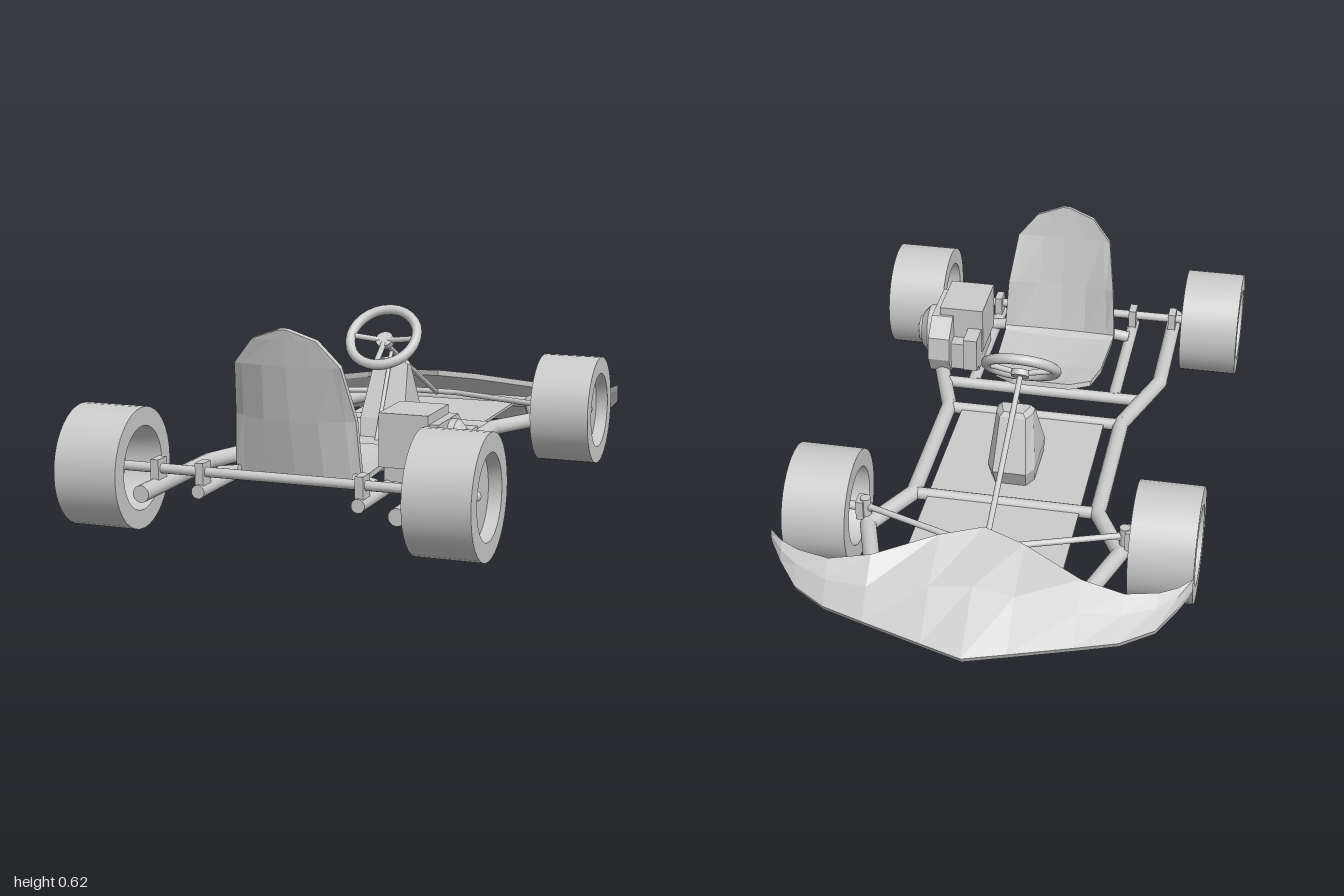
import * as THREE from 'three';
import { toCreasedNormals } from 'three/addons/utils/BufferGeometryUtils.js';

const grey = new THREE.MeshStandardMaterial({ color: 0xcccccc });
const facet = new THREE.MeshStandardMaterial({ color: 0xcccccc, flatShading: true, side: THREE.DoubleSide });
const V = (x, y, z) => new THREE.Vector3(x, y, z);

function add(parent, name, geometry, material = grey) {
  const mesh = new THREE.Mesh(geometry, material);
  mesh.name = name;
  parent.add(mesh);
  return mesh;
}

// Box given by its limits on each axis
function box(parent, name, x0, x1, y0, y1, z0, z1) {
  const m = add(parent, name, new THREE.BoxGeometry(x1 - x0, y1 - y0, z1 - z0));
  m.position.set((x0 + x1) / 2, (y0 + y1) / 2, (z0 + z1) / 2);
  return m;
}

// Straight round bar between two points
function rod(parent, name, a, b, r, sides = 14) {
  const m = add(parent, name, new THREE.CylinderGeometry(r, r, a.distanceTo(b), sides));
  m.position.copy(a).add(b).multiplyScalar(0.5);
  m.quaternion.setFromUnitVectors(V(0, 1, 0), b.clone().sub(a).normalize());
  return m;
}

// Chain of bars with rounded joints
function bentPipe(parent, name, points, r) {
  const g = new THREE.Group();
  g.name = name;
  parent.add(g);
  points.forEach((p, i) => {
    if (i === 0) return;
    rod(g, name + 'Section', points[i - 1], p, r);
    if (i < points.length - 1) add(g, name + 'Joint', new THREE.SphereGeometry(r, 14, 8)).position.copy(p);
  });
}

// Skin over a row of closed loops, with both ends capped
function loft(loops) {
  const n = loops[0].length, index = [];
  for (let i = 0; i < loops.length - 1; i++) {
    for (let j = 0; j < n; j++) {
      const a = i * n + j, b = i * n + (j + 1) % n;
      index.push(a, b, a + n, b, b + n, a + n);
    }
  }
  const last = (loops.length - 1) * n;
  for (let j = 0; j < n / 2 - 1; j++) {
    const k = n - 1 - j;
    index.push(j, k, j + 1, j + 1, k, k - 1);
    index.push(last + j, last + j + 1, last + k, last + j + 1, last + k - 1, last + k);
  }
  const g = new THREE.BufferGeometry().setFromPoints(loops.flat());
  g.setIndex(index);
  g.computeVertexNormals();
  return g;
}

function addWheels(kart) {
  // Tyre and rim: shallow recess outside, deep one inside
  const profile = [[0, 0.02], [0.12, 0.02], [0.127, -0.1], [0.184, -0.1], [0.184, 0.1],
    [0.127, 0.1], [0.127, 0.06], [0, 0.06]].map(([r, h]) => new THREE.Vector2(r, h));
  const tyre = toCreasedNormals(new THREE.LatheGeometry(profile, 36), 0.5);
  for (const [end, z] of [['rear', 0.822], ['front', -0.51]]) {
    for (const s of [-1, 1]) {
      const wheel = new THREE.Group();
      wheel.name = end + 'Wheel';
      wheel.position.set(s * 0.536 - 0.005, 0.185, z);
      wheel.scale.z = 0.965;
      add(wheel, 'tyreAndRim', tyre).rotation.z = -s * Math.PI / 2;
      add(wheel, 'axleNut', new THREE.SphereGeometry(0.016, 12, 8)).position.x = s * 0.06;
      kart.add(wheel);
    }
  }
}

function addChassis(kart) {
  const Y = 0.133, R = 0.026;
  for (const s of [-1, 1]) {
    bentPipe(kart, 'sideRail', [[0.395, 0.93], [0.395, 0.46], [0.30, 0.18], [0.30, -0.34], [0.40, -0.53],
      [0.30, -0.83]].map(([x, z]) => V(s * x, Y, z)), R);
    rod(kart, 'innerRail', V(s * 0.25, Y, 0.33), V(s * 0.25, Y, 0.85), 0.021);
    rod(kart, 'seatStrut', V(s * 0.25, 0.16, 0.70), V(s * 0.18, 0.17, 0.70), 0.02);
    // Axle bearings standing on the rails
    for (const x of [0.25, 0.395]) box(kart, 'axleBearing', s * x - 0.013, s * x + 0.013, 0.12, 0.217, 0.785, 0.84);
    // Front steering knuckle and tie rod
    rod(kart, 'kingpin', V(s * 0.41, 0.11, -0.51), V(s * 0.41, 0.22, -0.51), 0.017);
    rod(kart, 'stubAxle', V(s * 0.39, 0.185, -0.51), V(s * 0.53, 0.185, -0.51), 0.014);
    box(kart, 'knuckle', s * 0.425 - 0.012, s * 0.425 + 0.012, 0.15, 0.215, -0.535, -0.485);
    bentPipe(kart, 'tieRod', [V(s * 0.41, 0.19, -0.51), V(s * 0.07, 0.19, -0.63), V(0, 0.19, -0.63)], 0.01);
  }
  for (const [z, x] of [[-0.83, 0.30], [-0.34, 0.30], [0.17, 0.30], [0.33, 0.345]]) {
    rod(kart, 'crossTube', V(-x, Y, z), V(x, Y, z), 0.02);
  }
  rod(kart, 'rearAxle', V(-0.53, 0.187, 0.815), V(0.53, 0.187, 0.815), 0.015);
  box(kart, 'floorPan', -0.243, 0.25, 0.128, 0.138, -0.78, 0.17);
}

function addNose(kart) {
  // x, front edge z and y, middle z and y, back edge z and y
  const half = [[0, -1, 0.045, -0.83, 0.18, -0.645, 0.265], [0.13, -0.968, 0.055, -0.84, 0.17, -0.69, 0.252],
    [0.32, -0.92, 0.07, -0.855, 0.15, -0.782, 0.218], [0.45, -0.885, 0.08, -0.84, 0.148, -0.797, 0.196],
    [0.55, -0.838, 0.105, -0.805, 0.165, -0.778, 0.2], [0.605, -0.79, 0.155, -0.778, 0.19, -0.762, 0.215],
    [0.645, -0.743, 0.195, -0.741, 0.215, -0.738, 0.235]];
  const mirrored = half.slice(1).reverse().map(([x, ...rest]) => [-x, ...rest]);
  const loops = [...mirrored, ...half].map(([x, zf, yf, zm, ym, zb, yb]) => [
    V(x, yf, zf), V(x, ym, zm), V(x, yb, zb),
    V(x, yb - 0.02, zb), V(x, ym - 0.03, zm), V(x, yf - 0.02, zf + 0.01)]);
  add(kart, 'nosePanel', loft(loops), facet);
}

function addSeat(kart) {
  // z, y, half width, how far the sides curl towards the driver
  const rows = [[0.295, 0.183, 0.10, 0], [0.34, 0.172, 0.168, 0.005], [0.45, 0.153, 0.188, 0.012],
    [0.655, 0.152, 0.197, 0.01], [0.695, 0.168, 0.2, 0.02], [0.738, 0.34, 0.19, 0.045],
    [0.77, 0.51, 0.165, 0.015], [0.782, 0.588, 0.1, 0.005], [0.787, 0.62, 0.012, 0]];
  const us = [-1, -0.85, -0.45, 0, 0.45, 0.85, 1];
  const loops = rows.map(([z, y, w, curl], i) => {
    const p = rows[Math.max(i - 1, 0)], q = rows[Math.min(i + 1, rows.length - 1)];
    const len = Math.hypot(q[0] - p[0], q[1] - p[1]);
    const nz = -(q[1] - p[1]) / len, ny = (q[0] - p[0]) / len;
    const at = (u, d) => V(w * u, y + ny * (curl * u * u + d), z + nz * (curl * u * u + d));
    return [...us.map(u => at(u, 0.008)), ...us.slice().reverse().map(u => at(u, -0.01))];
  });
  add(kart, 'seat', loft(loops), facet);
}

function addSteering(kart) {
  const wheel = new THREE.Group();
  wheel.name = 'steeringWheel';
  wheel.position.set(0, 0.472, -0.062);
  wheel.rotation.x = -Math.PI / 4;
  add(wheel, 'rim', new THREE.TorusGeometry(0.114, 0.017, 10, 28));
  for (const a of [0, Math.PI, -Math.PI / 2]) {
    rod(wheel, 'spoke', V(0, 0, -0.02), V(Math.cos(a) * 0.112, Math.sin(a) * 0.112, 0), 0.01, 8);
  }
  add(wheel, 'hub', new THREE.CylinderGeometry(0.03, 0.03, 0.02, 16).rotateX(Math.PI / 2)).position.z = -0.02;
  kart.add(wheel);
  rod(kart, 'steeringColumn', V(0, 0.453, -0.07), V(0, 0.185, -0.635), 0.009);
  rod(kart, 'columnBrace', V(0, 0.42, -0.145), V(0, 0.13, 0.01), 0.007);
  box(kart, 'underfloorBlock', -0.02, 0.02, 0.065, 0.13, -0.55, -0.51);

  // Tapered pedestal under the steering column, chamfered towards the nose
  const ring = (w, y, z0, z1) => [[-0.7 * w, z0], [0.7 * w, z0], [w, z0 + 0.04], [w, z1], [-w, z1], [-w, z0 + 0.04]]
    .map(([x, z]) => V(x, y, z));
  add(kart, 'pedestal', loft([ring(0.07, 0.132, -0.24, -0.03), ring(0.077, 0.20, -0.272, -0.05),
    ring(0.06, 0.37, -0.205, -0.135), ring(0.045, 0.385, -0.195, -0.14)]), facet);
}

function addEngine(kart) {
  const engine = new THREE.Group();
  engine.name = 'engine';
  kart.add(engine);
  box(engine, 'fuelTank', 0.235, 0.388, 0.2, 0.363, 0.44, 0.635);
  // Crankcase with chamfered end
  const side = new THREE.Shape([[-0.62, 0.15], [-0.62, 0.335], [-0.43, 0.335], [-0.365, 0.28], [-0.355, 0.2],
    [-0.385, 0.14]].map(([x, y]) => new THREE.Vector2(x, y)));
  const crankcase = new THREE.ExtrudeGeometry(side, { depth: 0.075, bevelEnabled: false });
  add(engine, 'crankcase', crankcase.rotateY(Math.PI / 2).translate(0.34, 0, 0));
  box(engine, 'cylinderBlock', 0.24, 0.34, 0.15, 0.25, 0.39, 0.6);
  box(engine, 'airFilter', 0.24, 0.288, 0.17, 0.29, 0.355, 0.45);
  // Starter cover with raised grille
  const cover = new THREE.Group();
  cover.name = 'starterCover';
  cover.position.set(0.41, 0.24, 0.495);
  cover.rotation.z = -Math.PI / 2;
  cover.scale.set(1.28, 1, 1);
  const part = (name, top, bottom, h, y) =>
    add(cover, name, new THREE.CylinderGeometry(top, bottom, h, 16)).position.y = y;
  part('coverBase', 0.072, 0.072, 0.025, 0.0125);
  part('coverDome', 0.05, 0.072, 0.025, 0.0375);
  part('coverGrille', 0.036, 0.04, 0.014, 0.055);
  for (let i = -1; i <= 1; i++) box(cover, 'grilleBar', i * 0.018 - 0.004, i * 0.018 + 0.004, 0.06, 0.066, -0.026, 0.026);
  engine.add(cover);
}

export function createModel() {
  const kart = new THREE.Group();
  kart.name = 'goKart';
  addWheels(kart);
  addChassis(kart);
  addNose(kart);
  addSeat(kart);
  addSteering(kart);
  addEngine(kart);
  return kart;
}
